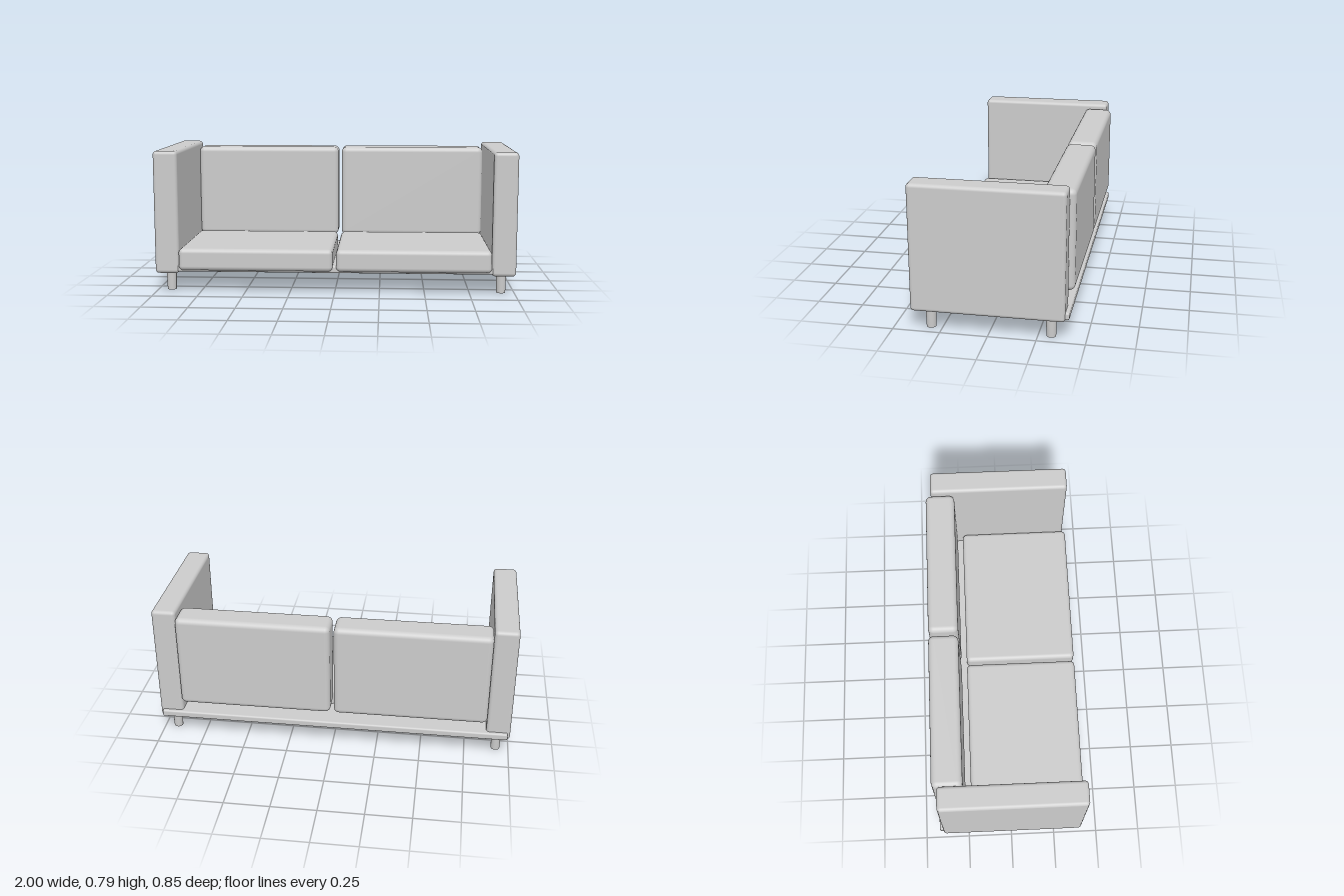
import * as THREE from 'three';
import { RoundedBoxGeometry } from 'three/addons/geometries/RoundedBoxGeometry.js';

export function createModel() {
  const sofa = new THREE.Group();
  sofa.name = 'sofa';
  const material = new THREE.MeshStandardMaterial({ color: 0xcccccc });

  // Rounded block given by its extents on each axis
  function block(name, [x0, x1], [y0, y1], [z0, z1], radius) {
    const geometry = new RoundedBoxGeometry(x1 - x0, y1 - y0, z1 - z0, 4, radius);
    const mesh = new THREE.Mesh(geometry, material);
    mesh.name = name;
    mesh.position.set((x0 + x1) / 2, (y0 + y1) / 2, (z0 + z1) / 2);
    sofa.add(mesh);
  }

  // Thin platform, reaching slightly out behind the arms
  block('base', [-0.985, 0.985], [0.117, 0.157], [-0.415, 0.4], 0.01);

  const legGeometry = new THREE.CylinderGeometry(0.028, 0.025, 0.115, 24);

  for (const [side, s] of [['left', 1], ['right', -1]]) {
    const span = (a, b) => (s > 0 ? [a, b] : [-b, -a]);
    block(side + 'Arm', span(0.866, 1), [0.107, 0.79], [-0.395, 0.405], 0.02);
    block(side + 'SeatCushion', span(0.01, 0.866), [0.127, 0.25], [-0.226, 0.423], 0.025);
    block(side + 'BackCushion', span(0.01, 0.866), [0.222, 0.763], [-0.424, -0.257], 0.03);

    // Tapered round legs
    for (const [end, z] of [['Front', 0.312], ['Back', -0.317]]) {
      const leg = new THREE.Mesh(legGeometry, material);
      leg.name = side + end + 'Leg';
      leg.position.set(s * 0.927, 0.0575, z);
      sofa.add(leg);
    }
  }
  return sofa;
}
